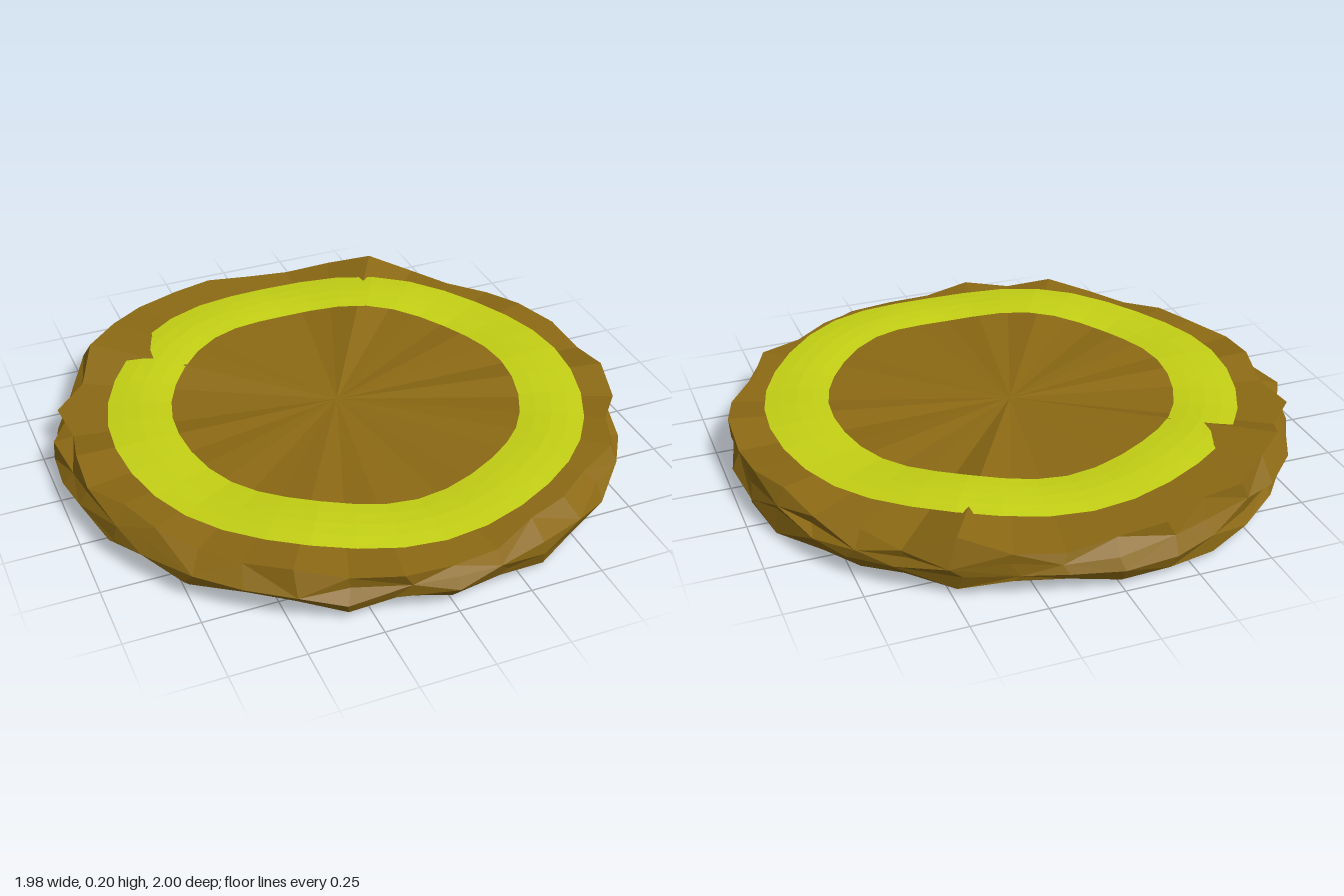
import * as THREE from 'three';

const SIDES = 36;

// small seeded generator for the rough-hewn edge
function makeRandom(seed) {
  return () => {
    seed = (seed * 16807) % 2147483647;
    return seed / 2147483647;
  };
}

export function createModel() {
  const group = new THREE.Group();
  const rand = makeRandom(90517);
  const spread = (a) => (rand() - 0.5) * 2 * a;

  // Rough slab: centre point, four jittered loops, centre point
  const loops = [
    { r: 0.955, y: 0.042, dr: 0.03, dy: 0.024, da: 0 },
    { r: 0.97, y: 0.075, dr: 0.03, dy: 0.016, da: 0.03 },
    { r: 0.97, y: 0.115, dr: 0.03, dy: 0.016, da: 0.03 },
    { r: 0.945, y: 0.151, dr: 0.035, dy: 0.02, da: 0 },
  ];
  // raised spots of the top edge and sunken spots of the bottom edge, by side number
  const raised = { 15: 0.199, 16: 0.155, 20: 0.187, 21: 0.178, 22: 0.196, 23: 0.197, 33: 0.184, 34: 0.15 };
  const sunken = { 2: 0.02, 8: 0.014, 11: 0.012, 12: 0, 13: 0.01, 19: 0.02, 20: 0.015, 28: 0.035 };
  const pos = [0, 0.035, 0];
  loops.forEach((l, row) => {
    for (let i = 0; i < SIDES; i++) {
      const tip = i % 9 === 0 && row === 1; // the four outermost points
      const a = (i / SIDES) * Math.PI * 2 + (tip ? 0 : spread(l.da));
      const r = tip ? (i % 18 ? 0.988 : 1) : Math.min(l.r + spread(l.dr), 0.99);
      let y = l.y + spread(l.dy);
      if (row === 0 && i in sunken) y = sunken[i];
      if (row === 3 && i in raised) y = raised[i];
      pos.push(Math.sin(a) * r, y, Math.cos(a) * r);
    }
  });
  pos.push(0, 0.155, 0);
  const top = pos.length / 3 - 1;
  const index = [];
  const at = (row, i) => 1 + row * SIDES + (i % SIDES);
  for (let i = 0; i < SIDES; i++) {
    index.push(0, at(0, i + 1), at(0, i));
    for (let row = 0; row < 3; row++) {
      const a = at(row, i), b = at(row, i + 1), c = at(row + 1, i + 1), d = at(row + 1, i);
      if ((i + row) % 2) index.push(a, b, c, a, c, d);
      else index.push(a, b, d, b, c, d);
    }
    index.push(top, at(3, i), at(3, i + 1));
  }
  const slabGeo = new THREE.BufferGeometry();
  slabGeo.setAttribute('position', new THREE.Float32BufferAttribute(pos, 3));
  slabGeo.setIndex(index);
  slabGeo.computeVertexNormals();
  const slab = new THREE.Mesh(slabGeo, new THREE.MeshStandardMaterial({ color: 0x8b6914, flatShading: true }));
  slab.name = 'roughSlab';
  group.add(slab);

  // Thin painted ring, slightly off centre and gently wavy
  const ringGeo = new THREE.RingGeometry(0.605, 0.825, SIDES, 4);
  ringGeo.rotateX(-Math.PI / 2);
  const p = ringGeo.attributes.position;
  for (let i = 0; i < p.count; i++) {
    const x = p.getX(i), z = p.getZ(i);
    const a = Math.atan2(x, z), r = Math.hypot(x, z);
    const wave = -0.008 * Math.cos(6 * a) - 0.004 * Math.cos(4 * a);
    const bow = 0.007 * Math.sin(((r - 0.605) / 0.22) * Math.PI);
    p.setY(i, 0.179 + wave + bow);
  }
  ringGeo.computeVertexNormals();
  const ring = new THREE.Mesh(
    ringGeo,
    new THREE.MeshStandardMaterial({ color: 0xc4d015, flatShading: true, side: THREE.DoubleSide })
  );
  ring.position.set(0.02, 0, 0.033);
  ring.name = 'paintedRing';
  group.add(ring);

  return group;
}
